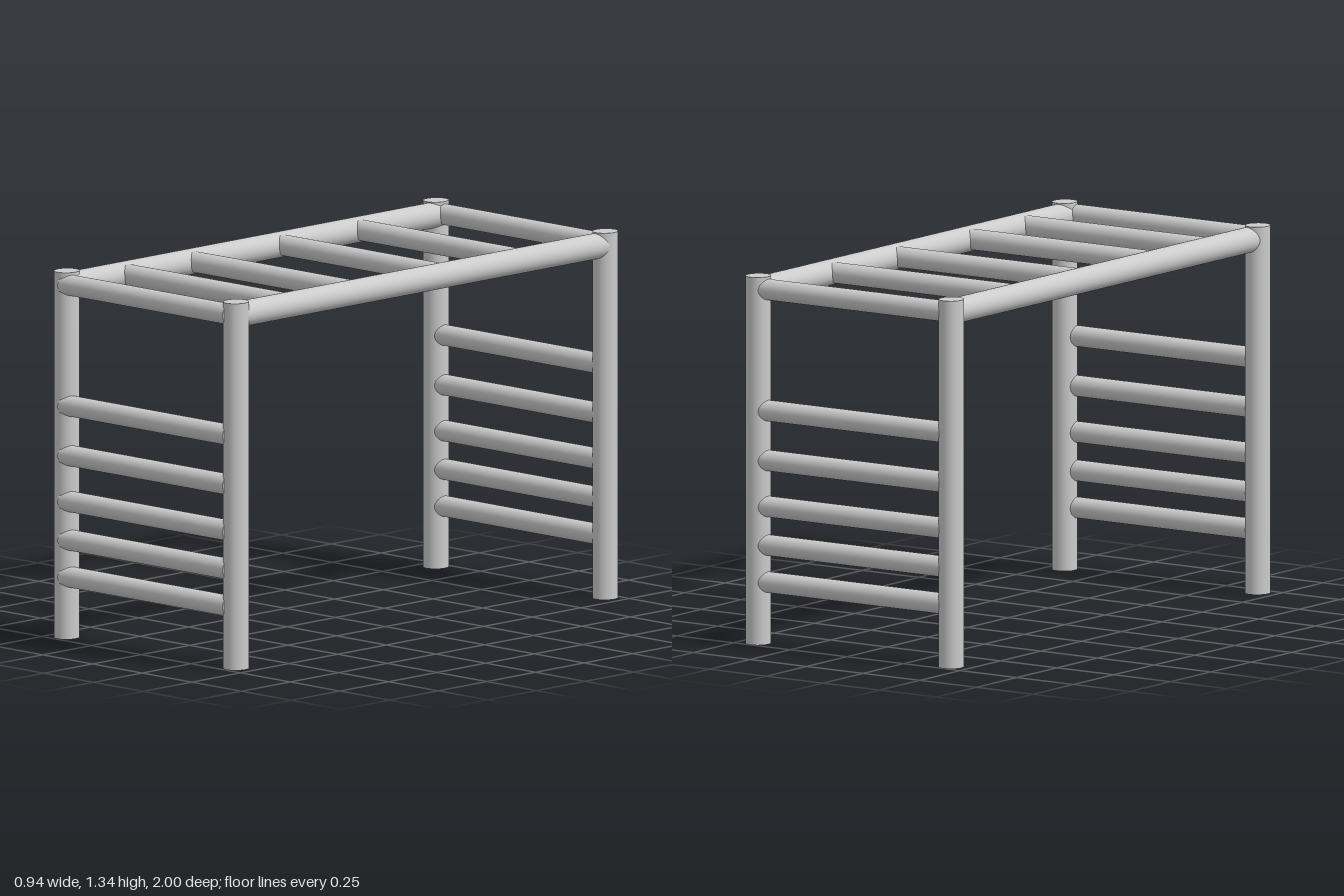
import * as THREE from 'three';

export function createModel() {
  const group = new THREE.Group();
  const material = new THREE.MeshStandardMaterial({ color: 0xcccccc });
  const topY = 1.295;

  // Round bar between two points
  function bar(name, from, to, radius) {
    const a = new THREE.Vector3(...from);
    const b = new THREE.Vector3(...to);
    const dir = b.clone().sub(a);
    const mesh = new THREE.Mesh(
      new THREE.CylinderGeometry(radius, radius, dir.length(), 40), material);
    mesh.name = name;
    mesh.position.copy(a).add(b).multiplyScalar(0.5);
    mesh.quaternion.setFromUnitVectors(new THREE.Vector3(0, 1, 0), dir.normalize());
    group.add(mesh);
    return mesh;
  }

  function rung(name, y, z) {
    bar(name, [-0.42, y, z], [0.41, y, z], 0.038);
  }

  // Two ladder frames: a pair of posts joined by rungs
  const ladderHeights = [0.227, 0.362, 0.503, 0.671, 0.853];
  const frames = [
    { side: 'front', postZ: 0.946, rungZ: 0.962 },
    { side: 'back', postZ: -0.952, rungZ: -0.953 },
  ];
  for (const { side, postZ, rungZ } of frames) {
    for (const x of [-0.427, 0.425]) {
      const post = bar(side + 'Post', [x, 0, postZ], [x, 1.342, postZ], 0.045);
      post.scale.z = 1.07; // posts are slightly oval
    }
    for (const y of ladderHeights) rung(side + 'LadderRung', y, rungZ);
    rung(side + 'TopRung', topY, rungZ);
  }

  // Overhead rails along the length
  for (const x of [-0.414, 0.42]) {
    bar('overheadRail', [x, 1.292, -0.95], [x, 1.292, 0.945], 0.0465);
  }

  // Overhead rungs
  for (const z of [-0.526, -0.125, 0.328, 0.67]) rung('overheadRung', topY, z);

  return group;
}
